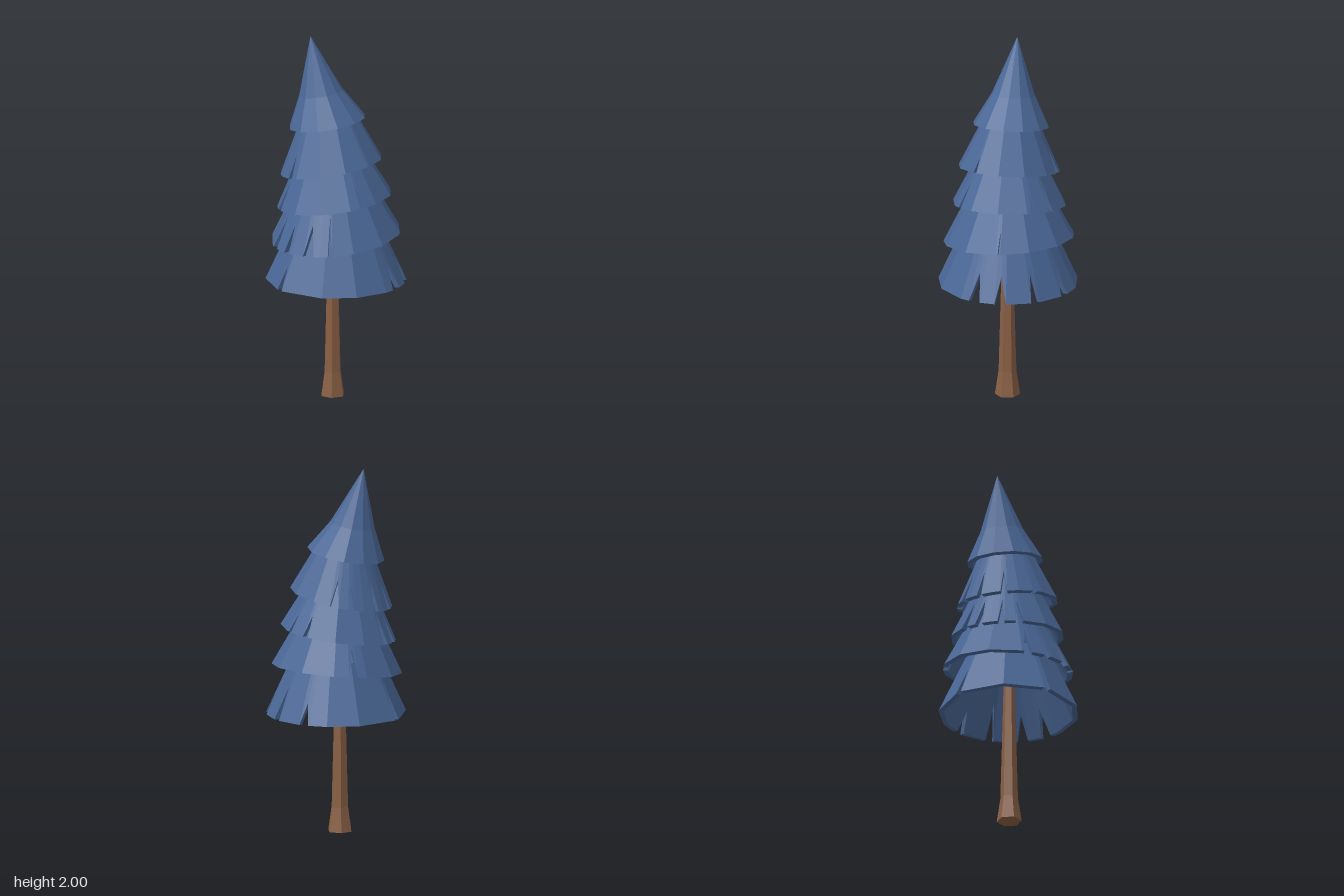
import * as THREE from 'three';

const leafMaterial = new THREE.MeshStandardMaterial({ color: 0x4a6796 });
const barkMaterial = new THREE.MeshStandardMaterial({ color: 0x8a6045 });
leafMaterial.name = 'needleBlue';
barkMaterial.name = 'barkBrown';

const V = (x, y, z) => new THREE.Vector3(x, y, z);
const TWELVE = Array.from({ length: 12 }, (_, i) => i * 30 + 10);

// Each tier: rim and top centres with radii, tilt (slope along x and z), closing tip,
// notches as [angle, half width, height fraction], and the rim corner angles.
const TIERS = [
  {
    rim: V(0, 0.652, 0), rimR: 0.38, top: V(0, 0.97, 0), topR: 0.235, tilt: [0, 0], tip: V(0, 1.08, 0),
    notches: [[-25, 4, 0.35], [5.5, 3.5, 0.55], [34.7, 4.8, 0.42], [57, 5, 0.45], [169.5, 2.8, 0.4], [248, 2.5, 0.5]],
    corners: [-72, -45, 2, 70, 99, 127.5, 207],
  },
  {
    rim: V(0, 0.898, -0.005), rimR: 0.352, top: V(-0.01, 1.2, -0.01), topR: 0.195, tilt: [0.1, -0.01], tip: V(-0.01, 1.3, -0.01),
    notches: [[-68, 4, 0.5], [37, 1.2, 0.4], [121, 2, 0.6], [141, 5, 0.5], [165, 3, 0.45], [184, 4, 0.5]],
    corners: TWELVE,
  },
  {
    rim: V(-0.003, 1.097, -0.01), rimR: 0.31, top: V(-0.02, 1.38, -0.02), topR: 0.165, tilt: [0.11, 0.08], tip: V(-0.02, 1.47, -0.02),
    notches: [[-18, 3, 0.4], [4, 2, 0.35], [88, 2, 0.5], [190, 4, 0.5], [209, 3.5, 0.5], [233, 4, 0.55], [251, 4, 0.55]],
    corners: TWELVE,
  },
  {
    rim: V(-0.02, 1.288, -0.015), rimR: 0.275, top: V(-0.035, 1.58, -0.035), topR: 0.14, tilt: [0.13, 0.13], tip: V(-0.04, 1.66, -0.04),
    notches: [[-45, 5, 0.45], [70, 2, 0.3], [170, 3, 0.4], [207, 4, 0.45], [237, 3, 0.5], [263, 4, 0.5], [295, 4, 0.4]],
    corners: TWELVE,
  },
  {
    rim: V(-0.035, 1.528, -0.037), rimR: 0.208, top: V(-0.06, 1.69, -0.065), topR: 0.119, tilt: [0.12, 0.12], tip: V(-0.1, 2, -0.11),
    notches: [], corners: TWELVE,
  },
];

// Flat-faced geometry from a list of triangle corners
function flatGeometry(points) {
  const geometry = new THREE.BufferGeometry().setFromPoints(points);
  geometry.computeVertexNormals();
  return geometry;
}

// Hollow thick cone whose lower edge rises into a V at each notch
function tierGeometry({ rim, rimR, top, topR, tilt, tip, notches, corners }) {
  const gap = (a, b) => Math.abs(((a - b + 540) % 360) - 180);
  const columns = corners
    .filter((a) => notches.every(([n, w]) => gap(a + 360, n) > w + 0.5))
    .map((a) => [a, 0]);
  for (const [a, w, h] of notches) columns.push([a - w, 0], [a, h], [a + w, 0]);
  columns.forEach((c) => { c[0] = (c[0] + 720) % 360; });
  columns.sort((a, b) => a[0] - b[0]);

  const rings = columns.map(([deg, lift]) => {
    const c = Math.cos(THREE.MathUtils.degToRad(deg));
    const s = Math.sin(THREE.MathUtils.degToRad(deg));
    const at = (centre, r) => V(c * r, r * (tilt[0] * c + tilt[1] * s), s * r).add(centre);
    const high = at(top, topR);
    const low = at(rim, rimR).lerp(high, lift);
    const inward = V(-c * 0.028, -0.004, -s * 0.028);
    return { low, high, lowIn: low.clone().add(inward), highIn: high.clone().add(inward) };
  });

  const points = [];
  const quad = (a, b, c, d) => points.push(a, b, c, a, c, d);
  const tipIn = tip.clone().setY(tip.y - 0.06);
  rings.forEach((p, i) => {
    const q = rings[(i + 1) % rings.length];
    quad(q.low, p.low, p.high, q.high);           // outside
    quad(p.lowIn, q.lowIn, q.highIn, p.highIn);   // inside
    quad(p.low, q.low, q.lowIn, p.lowIn);         // edge thickness
    points.push(q.high, p.high, tip, p.highIn, q.highIn, tipIn);
  });
  return flatGeometry(points);
}

export function createModel() {
  const tree = new THREE.Group();
  tree.name = 'tree';

  // Six-sided trunk with a flared foot
  const profile = [[0, 0], [0.068, 0], [0.048, 0.135], [0.034, 0.66], [0.026, 1]]
    .map(([r, y]) => new THREE.Vector2(r, y));
  const trunkGeometry = new THREE.LatheGeometry(profile, 6, Math.PI / 2).toNonIndexed();
  trunkGeometry.computeVertexNormals();
  const trunk = new THREE.Mesh(trunkGeometry, barkMaterial);
  trunk.name = 'trunk';
  trunk.position.set(-0.018, 0, -0.006);
  tree.add(trunk);

  // Overlapping tiers of branches, leaning further toward the tip
  TIERS.forEach((tier, i) => {
    const mesh = new THREE.Mesh(tierGeometry(tier), leafMaterial);
    mesh.name = i === TIERS.length - 1 ? 'treetop' : `branchTier${i + 1}`;
    tree.add(mesh);
  });
  return tree;
}
